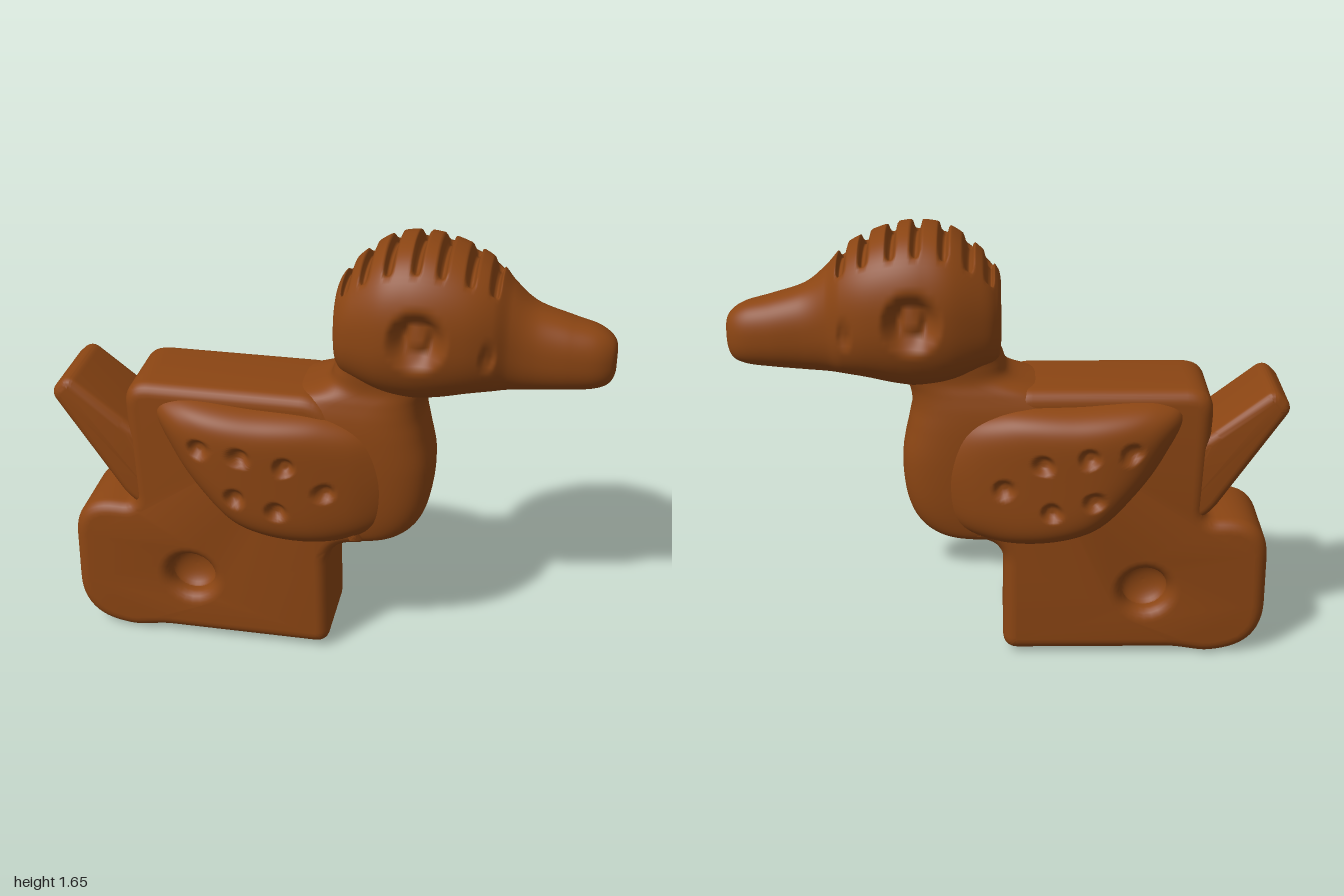
import * as THREE from 'three';
import { toCreasedNormals } from 'three/addons/utils/BufferGeometryUtils.js';

const clay = new THREE.MeshStandardMaterial({ color: 0x8b4513 });
const clayInside = new THREE.MeshStandardMaterial({ color: 0x8b4513, side: THREE.DoubleSide });
const { smoothstep, clamp } = THREE.MathUtils;

function part(name, geometry, material = clay) {
  const mesh = new THREE.Mesh(geometry, material);
  mesh.name = name;
  return mesh;
}

// Closed shape from corners [x, y, rounding]
function roundedShape(corners) {
  const shape = new THREE.Shape();
  const n = corners.length;
  const toward = (a, b) => {
    const p = new THREE.Vector2(a[0], a[1]);
    const d = new THREE.Vector2(b[0], b[1]).sub(p).setLength(a[2]);
    return p.add(d);
  };
  corners.forEach((c, i) => {
    const p = toward(c, corners[(i + n - 1) % n]);
    const q = toward(c, corners[(i + 1) % n]);
    if (i === 0) shape.moveTo(p.x, p.y);
    else shape.lineTo(p.x, p.y);
    shape.quadraticCurveTo(c[0], c[1], q.x, q.y);
  });
  shape.closePath();
  return shape;
}

// Slab with softly rounded edges, centred on z = zc
function slab(shape, half, bevel, zc) {
  const geo = new THREE.ExtrudeGeometry(shape, {
    depth: 2 * (half - bevel), bevelThickness: bevel, bevelSize: bevel,
    bevelOffset: -bevel, bevelSegments: 6, curveSegments: 12,
  });
  geo.translate(0, 0, zc - half + bevel);
  return toCreasedNormals(geo, 0.7);
}

// Smooth surface of rings: f(v, j) gives a point, v runs 0..1, j is the step round the ring
function rings(rows, cols, f) {
  const pos = [], idx = [];
  for (let i = 0; i <= rows; i++)
    for (let j = 0; j < cols; j++) pos.push(...f(i / rows, j));
  for (let i = 0; i < rows; i++)
    for (let j = 0; j < cols; j++) {
      const k = (j + 1) % cols;
      const a = i * cols + j, b = i * cols + k, c = a + cols, d = b + cols;
      idx.push(a, b, c, b, d, c);
    }
  const geo = new THREE.BufferGeometry();
  geo.setAttribute('position', new THREE.Float32BufferAttribute(pos, 3));
  geo.setIndex(idx);
  geo.computeVertexNormals();
  return geo;
}

// Smooth curves through stations [s, low, high, half width], and a rounded-square ring
const curvesOf = (stations) => [1, 2, 3].map(
  (k) => new THREE.SplineCurve(stations.map((s) => new THREE.Vector2(s[0], s[k]))));
const soft = (s, power) => Math.sign(s) * Math.abs(s) ** power;

// 1 inside a round spot, fading to 0 at radius r
const spot = (x, y, cx, cy, r) => 1 - smoothstep(Math.hypot(x - cx, y - cy), r * 0.3, r);

// Head and beak: [x, bottom, top, half width]
const headStations = [
  [0.03, 1.32, 1.32, 0], [0.03, 1.2, 1.44, 0.12], [0.05, 1.15, 1.49, 0.165],
  [0.1, 1.12, 1.55, 0.2], [0.2, 1.085, 1.625, 0.24], [0.3, 1.07, 1.65, 0.25],
  [0.4, 1.08, 1.64, 0.245], [0.5, 1.1, 1.605, 0.225], [0.58, 1.11, 1.56, 0.19],
  [0.64, 1.115, 1.495, 0.148], [0.72, 1.12, 1.43, 0.124], [0.84, 1.13, 1.39, 0.11],
  [0.93, 1.14, 1.365, 0.092], [0.98, 1.16, 1.335, 0.064], [1.0, 1.2, 1.3, 0.03],
  [1.0, 1.25, 1.25, 0],
];
const grooves = [0.07, 0.14, 0.225, 0.32, 0.405, 0.5, 0.58];

function headGeometry() {
  const [bottom, top, width] = curvesOf(headStations);
  const cols = 72;
  return rings(260, cols, (v, j) => {
    const a = (j / cols) * Math.PI * 2;
    const b = bottom.getPoint(v), t = top.getPoint(v).y, w = width.getPoint(v).y;
    const x = b.x;
    let y = (b.y + t) / 2 + soft(Math.cos(a), 0.85) * (t - b.y) / 2;
    let z = soft(Math.sin(a), 0.85) * w;
    // eye socket with raised pupil, and nostril
    const dent = 0.075 * spot(x, y, 0.335, 1.36, 0.115)
      - 0.035 * spot(x, y, 0.335, 1.355, 0.06)
      + 0.015 * spot(x, y * 0.6, 0.57, 1.3 * 0.6, 0.035);
    const side = smoothstep(Math.abs(Math.sin(a)), 0.4, 0.7);
    z -= Math.sign(z) * dent * side;
    // grooves across the comb
    const crown = smoothstep(Math.cos(a), 0.7, 0.88);
    for (const g of grooves) y -= 0.045 * crown * Math.exp(-(((x - g) / 0.014) ** 4));
    return [x, y, z];
  });
}

// Breast and neck: [y, back x, front x, half width]
const breastStations = [
  [0.485, 0.05, 0.05, 0], [0.487, -0.1, 0.2, 0.12], [0.5, -0.2, 0.28, 0.16], [0.56, -0.25, 0.345, 0.178],
  [0.66, -0.25, 0.38, 0.188], [0.8, -0.25, 0.388, 0.192], [0.92, -0.25, 0.365, 0.19],
  [1.0, -0.23, 0.35, 0.182], [1.06, -0.15, 0.355, 0.168], [1.11, -0.01, 0.375, 0.155],
  [1.17, 0.025, 0.39, 0.158], [1.24, 0.05, 0.38, 0.165], [1.32, 0.08, 0.34, 0.12], [1.32, 0.2, 0.2, 0],
];

function breastGeometry() {
  const [back, front, width] = curvesOf(breastStations);
  const cols = 64;
  return rings(80, cols, (v, j) => {
    const a = (j / cols) * Math.PI * 2;
    const b = back.getPoint(v), f = front.getPoint(v).y, w = width.getPoint(v).y;
    return [(b.y + f) / 2 + soft(Math.sin(a), 0.6) * (f - b.y) / 2, b.x, soft(Math.cos(a), 0.6) * w];
  });
}

// Wing: a pillow over a curved outline, thinner to the front, with thumb-pressed dots
const wingOutline = [
  [-0.62, 1.0], [-0.56, 0.84], [-0.46, 0.69], [-0.32, 0.55], [-0.12, 0.49], [0.08, 0.5],
  [0.22, 0.58], [0.265, 0.76], [0.19, 0.93], [0.03, 1.01], [-0.25, 1.03], [-0.54, 1.04],
];
const wingDots = [[-0.43, 0.89], [-0.28, 0.875], [-0.12, 0.845], [0.02, 0.74], [-0.3, 0.705], [-0.15, 0.66]];

function wingGeometry(side) {
  const cols = 110;
  const edge = new THREE.CatmullRomCurve3(
    wingOutline.map(([x, y]) => new THREE.Vector3(x, y, 0)), true).getSpacedPoints(cols);
  const thick = new THREE.SplineCurve([
    [-0.65, 0.23], [-0.5, 0.27], [-0.35, 0.288], [-0.2, 0.284], [-0.05, 0.265], [0.1, 0.235], [0.25, 0.2],
  ].map(([x, z]) => new THREE.Vector2(x, z)));
  return rings(44, cols, (v, j) => {
    const u = 1 - (1 - v) ** 1.4;
    const e = edge[side > 0 ? cols - j : j];
    const x = -0.18 + (e.x + 0.18) * u;
    const y = 0.78 + (e.y - 0.78) * u;
    const h = thick.getPoint(clamp((x + 0.65) / 0.9, 0, 1)).y - 0.13;
    let z = 0.13 + h * Math.sqrt(1 - u ** 6);
    for (const [dx, dy] of wingDots) z -= 0.03 * spot(x, y, dx, dy, 0.045);
    return [x, y, side * z];
  });
}

export function createModel() {
  const bird = new THREE.Group();
  bird.name = 'clayBird';

  // Foot block and back in one piece, with a finger hole on each side
  const bodyShape = roundedShape([
    [0.025, 0.02, 0.06], [0.02, 0.48, 0.1], [0.16, 0.49, 0.03], [0.1, 0.95, 0.1],
    [-0.02, 1.08, 0.06], [-0.73, 1.08, 0.1], [-0.71, 0.56, 0.06], [-0.955, 0.57, 0.17],
    [-0.962, 0.03, 0.18], [-0.74, 0.0, 0.03], [-0.62, 0.02, 0.03],
  ]);
  const hole = new THREE.Path();
  hole.absarc(-0.505, 0.275, 0.085, 0, Math.PI * 2, true);
  bodyShape.holes.push(hole);
  bird.add(part('body', slab(bodyShape, 0.178, 0.05, 0.01)));
  bird.add(part('breastAndNeck', breastGeometry()));

  // Bowl closing each finger hole
  const bowl = [];
  for (let i = 0; i <= 8; i++) {
    const a = (i / 8) * Math.PI / 2;
    bowl.push(new THREE.Vector2(0.088 * Math.sin(a), -0.05 * Math.cos(a)));
  }
  for (const side of [1, -1]) {
    const dish = part(side > 0 ? 'frontHoleBowl' : 'backHoleBowl', new THREE.LatheGeometry(bowl, 32), clayInside);
    dish.rotation.x = side * Math.PI / 2;
    dish.position.set(-0.505, 0.275, 0.01 + side * 0.13);
    bird.add(dish);
    bird.add(part(side > 0 ? 'frontWing' : 'backWing', wingGeometry(side)));
  }

  // Tail used as the mouthpiece
  const tailShape = roundedShape([
    [-1.01, 1.01, 0.04], [-0.94, 1.08, 0.04], [-0.7, 0.89, 0.05],
    [-0.55, 0.8, 0.05], [-0.55, 0.5, 0.05], [-0.73, 0.58, 0.06],
  ]);
  bird.add(part('tail', slab(tailShape, 0.168, 0.035, 0.01)));

  bird.add(part('head', headGeometry()));
  return bird;
}
